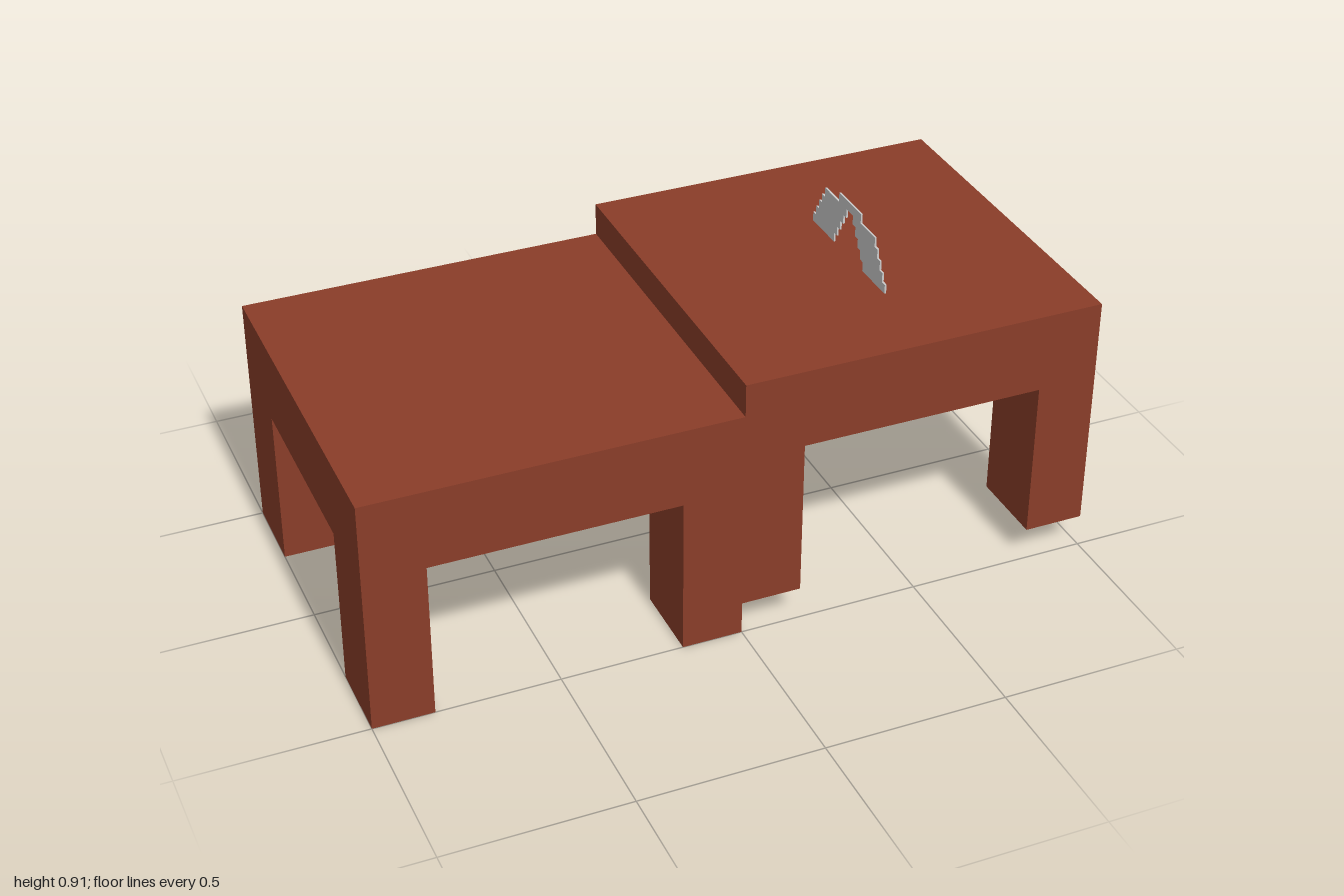
import * as THREE from 'three';

const wood = new THREE.MeshStandardMaterial({ color: 0x8a3d29 });
const grey = new THREE.MeshStandardMaterial({ color: 0xcccccc });

function box(name, size, pos, material) {
  const mesh = new THREE.Mesh(new THREE.BoxGeometry(...size), material);
  mesh.position.set(...pos);
  mesh.name = name;
  return mesh;
}

// Square table with a thick top and four corner legs, origin at floor level
function makeTable(name) {
  const table = new THREE.Group();
  table.name = name;
  const topHeight = 0.22, legHeight = 0.445, legX = 0.165, legZ = 0.222;
  table.add(box('tableTop', [1, topHeight, 1], [0, legHeight + topHeight / 2, 0], wood));
  for (const sx of [-1, 1]) {
    for (const sz of [-1, 1]) {
      table.add(box('leg', [legX, legHeight, legZ],
        [sx * (1 - legX) / 2, legHeight / 2, sz * (1 - legZ) / 2], wood));
    }
  }
  return table;
}

// Thin stepped arch: two leaning stacks of slabs closed by a cap slab
function makeArch() {
  const arch = new THREE.Group();
  arch.name = 'steppedArch';
  const size = [0.005, 0.0263, 0.128], rows = 5;
  for (let i = 0; i < rows; i++) {
    for (const side of [-1, 1]) {
      arch.add(box('archSlab', size, [0, (i + 0.5) * size[1], side * (0.149 - 0.0165 * i)], grey));
    }
  }
  arch.add(box('archCap', size, [0, (rows + 0.5) * size[1], 0], grey));
  return arch;
}

export function createModel() {
  const model = new THREE.Group();
  model.name = 'steppedTables';

  const lower = makeTable('lowerTable');
  lower.position.set(-0.5, 0, 0);
  const upper = makeTable('upperTable');
  upper.position.set(0.5, 0.092, 0);

  // Arch stands on the raised table
  const arch = makeArch();
  arch.position.set(0.512, 0.757, 0.024);

  model.add(lower, upper, arch);
  return model;
}
